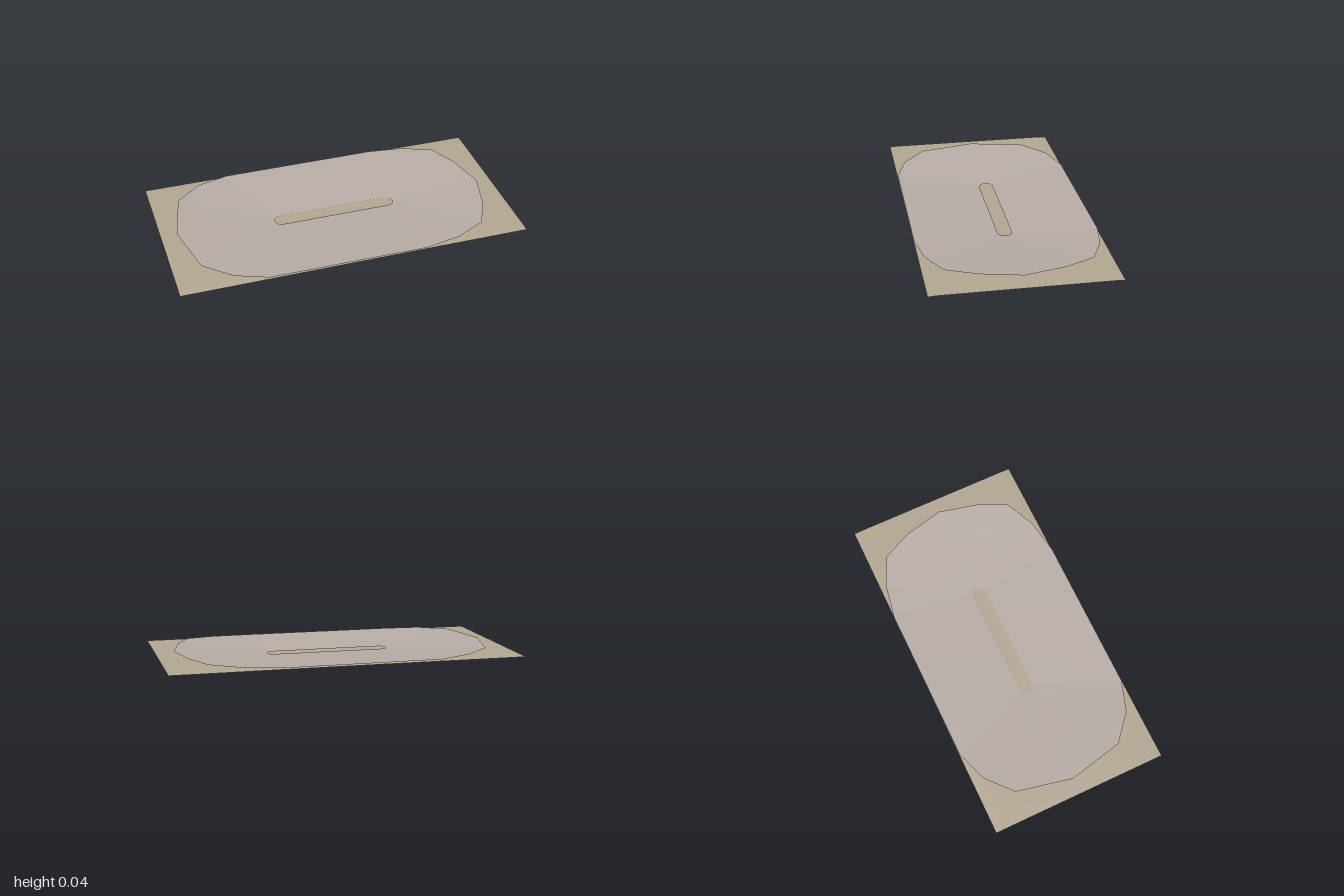
import * as THREE from 'three';

const HALF_DEPTH = 0.513;

// piecewise-linear lookup in [[x, y], ...]
function lookup(table, x) {
  for (let i = 1; i < table.length; i++) {
    const [x0, y0] = table[i - 1], [x1, y1] = table[i];
    if (x <= x1) return THREE.MathUtils.mapLinear(x, x0, x1, y0, y1);
  }
  return table[table.length - 1][1];
}

// Base sheet: height depends on the distance from the central trough
const DIP = [[0, 0.001], [0.12, 0.006], [0.24, 0.011], [0.34, 0.018], [0.46, 0.022], [0.7, 0.021]];

function makeSheet(material) {
  const geo = new THREE.PlaneGeometry(2, 2 * HALF_DEPTH, 60, 48).rotateX(-Math.PI / 2);
  const p = geo.attributes.position;
  for (let i = 0; i < p.count; i++) {
    const x = p.getX(i), z = p.getZ(i);
    const d = Math.hypot(Math.max(0, Math.abs(x) - 0.34), z);
    // long edges curl slightly downwards
    const curl = Math.max(0, (Math.abs(z) - 0.45) / (HALF_DEPTH - 0.45));
    p.setY(i, lookup(DIP, d) - 0.003 * curl * curl);
  }
  geo.computeVertexNormals();
  return new THREE.Mesh(geo, material);
}

// Upper panel: faceted oval rim (x, y, z) for the rear half, left to right
const RIM = [
  [-0.91, 0.042, 0], [-0.84, 0.041, -0.32], [-0.69, 0.036, -0.45], [-0.51, 0.028, -0.51],
  [0.4, 0.027, -0.513], [0.6, 0.033, -0.478], [0.77, 0.041, -0.4], [0.85, 0.043, -0.23], [0.905, 0.044, 0],
];

function makePanel(material) {
  const corners = RIM.map(c => new THREE.Vector3(...c));
  const front = corners.slice(1, -1).reverse().map(c => new THREE.Vector3(c.x, c.y, -c.z));
  const loop = [...corners, ...front];
  const steps = 8, rings = 12, rim = [];
  loop.forEach((a, i) => {
    const b = loop[(i + 1) % loop.length];
    for (let k = 0; k < steps; k++) rim.push(a.clone().lerp(b, k / steps));
  });

  // rings run from the rounded slot out to the rim
  const pos = [], index = [], n = rim.length;
  for (const r of rim) {
    const centre = new THREE.Vector3(THREE.MathUtils.clamp(r.x, -0.3, 0.33), 0, 0);
    const dir = new THREE.Vector3(r.x, 0, r.z).sub(centre).normalize();
    const inner = centre.addScaledVector(dir, 0.04);
    inner.y = 0.009;
    for (let j = 0; j <= rings; j++) pos.push(...inner.clone().lerp(r, j / rings).toArray());
  }
  for (let i = 0; i < n; i++) {
    for (let j = 0; j < rings; j++) {
      const a = i * (rings + 1) + j, b = ((i + 1) % n) * (rings + 1) + j;
      index.push(a, b, a + 1, b, b + 1, a + 1);
    }
  }
  // the loop runs clockwise from above, so flip to face up
  for (let i = 0; i < index.length; i += 3) [index[i], index[i + 1]] = [index[i + 1], index[i]];
  const geo = new THREE.BufferGeometry();
  geo.setAttribute('position', new THREE.Float32BufferAttribute(pos, 3));
  geo.setIndex(index);
  geo.computeVertexNormals();
  return new THREE.Mesh(geo, material);
}

export function createModel() {
  const group = new THREE.Group();
  const mat = color => new THREE.MeshStandardMaterial({ color, side: THREE.DoubleSide });

  const sheet = makeSheet(mat(0xb3a792));
  sheet.name = 'baseSheet';

  const panel = makePanel(mat(0xb8ada6));
  panel.name = 'ovalPanelWithSlot';

  group.add(sheet, panel);
  // rest the lowest point on the ground
  group.position.y = -new THREE.Box3().setFromObject(group).min.y;
  return group;
}
